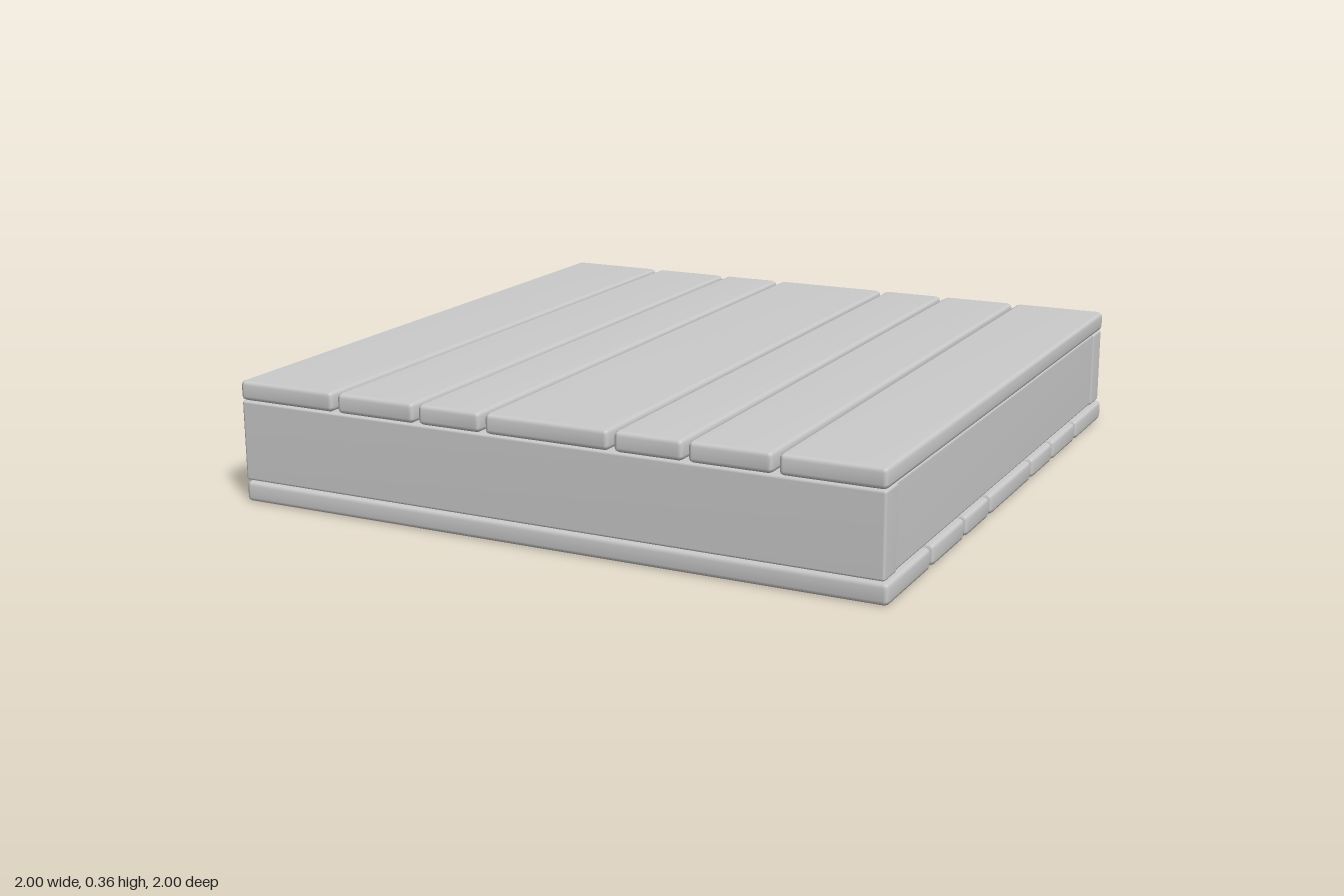
import * as THREE from 'three';
import { mergeVertices } from 'three/addons/utils/BufferGeometryUtils.js';
import { RoundedBoxGeometry } from 'three/addons/geometries/RoundedBoxGeometry.js';

const wood = new THREE.MeshStandardMaterial({ color: 0xcccccc });

// Softly bevelled board spanning [min, max] on each axis, with normals shared across its bevels
function board(name, [x0, x1], [y0, y1], [z0, z1], bevel = 0.014) {
  let geometry = new RoundedBoxGeometry(x1 - x0, y1 - y0, z1 - z0, 1, bevel);
  geometry.deleteAttribute('uv');
  geometry.deleteAttribute('normal');
  geometry = mergeVertices(geometry);
  geometry.computeVertexNormals();
  const mesh = new THREE.Mesh(geometry, wood);
  mesh.name = name;
  mesh.position.set((x0 + x1) / 2, (y0 + y1) / 2, (z0 + z1) / 2);
  return mesh;
}

// Uneven plank widths, shared by the top and bottom decks
const planks = [
  [-1, -0.68], [-0.663, -0.408], [-0.392, -0.193], [-0.177, 0.204],
  [0.22, 0.423], [0.438, 0.678], [0.694, 0.99],
];

export function createModel() {
  const model = new THREE.Group();
  model.name = 'pallet';
  const topDeck = new THREE.Group();
  topDeck.name = 'topDeck';
  const bottomDeck = new THREE.Group();
  bottomDeck.name = 'bottomDeck';
  const frame = new THREE.Group();
  frame.name = 'frame';

  // Top planks run front to back, bottom planks run side to side
  planks.forEach(([a, b], i) => {
    topDeck.add(board(`topPlank${i + 1}`, [a, b], [0.303, 0.363], [-1, 0.995]));
    bottomDeck.add(board(`bottomPlank${i + 1}`, [-0.995, 1], [0, 0.063], [-b, -a]));
  });

  // Hollow frame: full-width front and back rails with side rails between them
  const height = [0.063, 0.303];
  frame.add(
    board('frontRail', [-0.998, 0.988], height, [0.905, 0.993], 0.008),
    board('backRail', [-0.998, 0.988], height, [-0.993, -0.905], 0.008),
    board('leftRail', [0.895, 0.983], height, [-0.906, 0.906], 0.008),
    board('rightRail', [-0.993, -0.905], height, [-0.906, 0.906], 0.008),
  );

  model.add(topDeck, frame, bottomDeck);
  return model;
}
